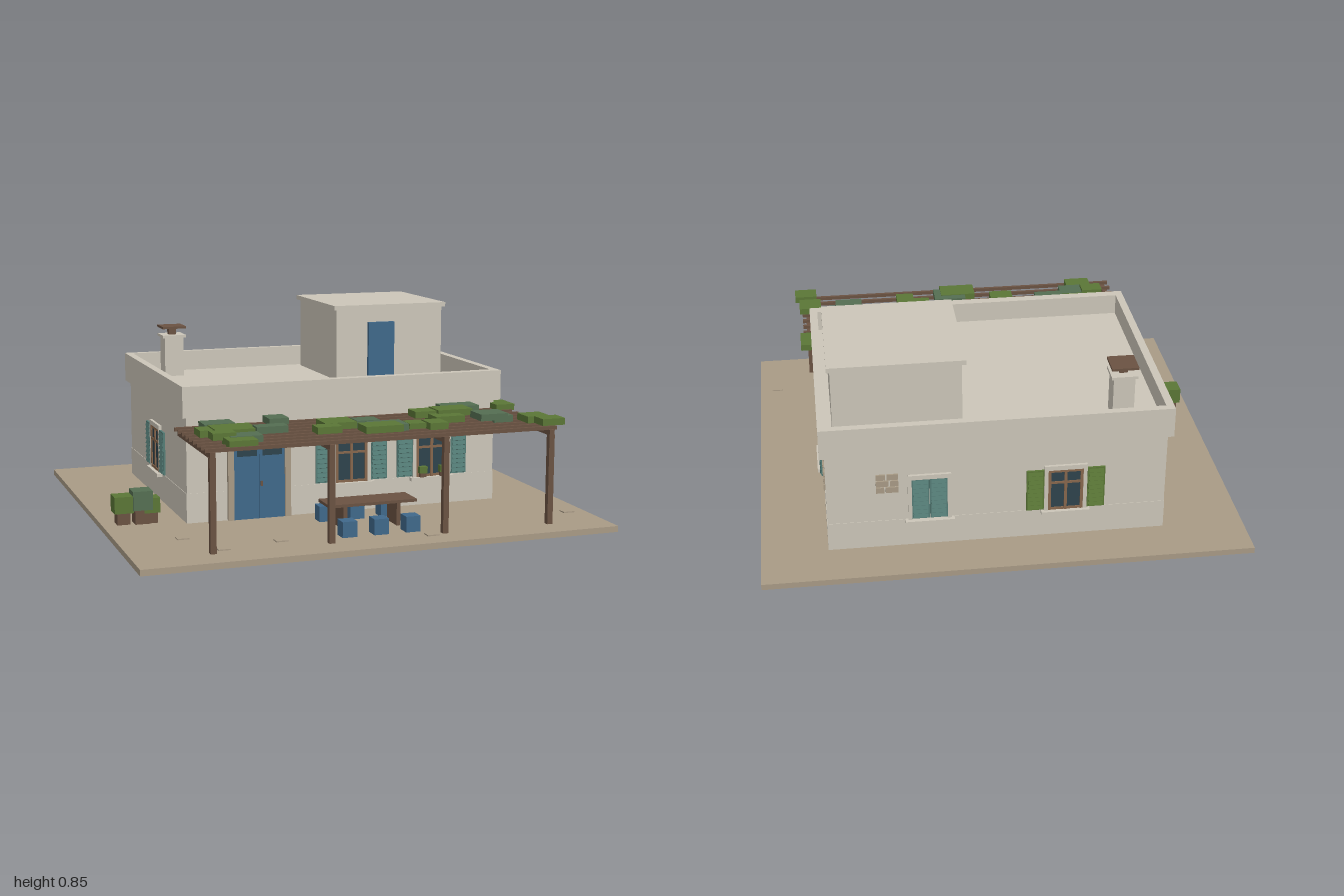
import * as THREE from 'three';

const mat = (name, hex) => {
  const m = new THREE.MeshStandardMaterial({ color: hex });
  m.name = name;
  return m;
};
const WALL = mat('limewash', 0xcbc5b8), STONE = mat('stone', 0xa89a85), BLUE = mat('bluePaint', 0x40688a),
  TEAL = mat('tealPaint', 0x547c76), WOOD = mat('darkWood', 0x6a5242), GLASS = mat('glass', 0x2e434c),
  FRAME = mat('windowWood', 0x86664c), LEAF = mat('leaf', 0x5a7636), SAGE = mat('sageLeaf', 0x546e52);

// Box given by its extents along x, y and z
function block(parent, name, m, x0, x1, y0, y1, z0, z1) {
  const mesh = new THREE.Mesh(new THREE.BoxGeometry(x1 - x0, y1 - y0, z1 - z0), m);
  mesh.position.set((x0 + x1) / 2, (y0 + y1) / 2, (z0 + z1) / 2);
  mesh.name = name;
  parent.add(mesh);
  return mesh;
}

function group(parent, name, x = 0, z = 0, turn = 0) {
  const g = new THREE.Group();
  g.name = name;
  g.position.set(x, 0, z);
  g.rotation.y = turn;
  parent.add(g);
  return g;
}

// Louvred shutter centred on x, lying on the wall plane z = 0
function shutter(parent, x, m) {
  const g = group(parent, 'shutter', x);
  block(g, 'shutterPanel', m, -0.036, 0.036, 0.155, 0.342, 0.002, 0.011);
  for (let i = 0; i < 9; i++) {
    const y = 0.168 + i * 0.02;
    block(g, 'slat', m, -0.03, 0.03, y - 0.008, y + 0.008, 0.009, 0.014).rotation.x = -0.35;
  }
}

// Window facing +z, wall plane at z = 0
function windowUnit(parent, x, z, turn, shutterMat, closed = false) {
  const g = group(parent, 'window', x, z, turn);
  block(g, 'surroundTop', WALL, -0.088, 0.088, 0.34, 0.36, 0, 0.012);
  for (const s of [-1, 1]) {
    const cx = s * 0.08;
    block(g, 'surroundSide', WALL, cx - 0.008, cx + 0.008, 0.15, 0.34, 0, 0.012);
    shutter(g, s * (closed ? 0.037 : 0.125), shutterMat);
  }
  block(g, 'sill', WALL, -0.1, 0.1, 0.135, 0.15, 0, 0.026);
  if (closed) return;
  block(g, 'pane', GLASS, -0.07, 0.07, 0.15, 0.34, 0, 0.006);
  for (const bx of [-0.066, 0, 0.066]) block(g, 'frameUpright', FRAME, bx - 0.006, bx + 0.006, 0.15, 0.34, 0, 0.011);
  for (const by of [0.156, 0.28, 0.334]) block(g, 'frameRail', FRAME, -0.072, 0.072, by - 0.005, by + 0.005, 0, 0.0105);
}

// Patch of bare masonry, wall plane at z = 0
function masonry(parent, x, z, turn, w, y0, rows) {
  const g = group(parent, 'bareStone', x, z, turn);
  rows.forEach((split, i) => {
    const y = y0 + i * 0.03, cut = -w / 2 + split * w;
    block(g, 'brick', STONE, -w / 2, cut - 0.003, y, y + 0.025, 0, 0.007);
    block(g, 'brick', STONE, cut + 0.003, w / 2, y, y + 0.025, 0, 0.007);
  });
}

function buildHouse(root) {
  const g = group(root, 'house');
  block(g, 'walls', WALL, -0.66, 0.725, 0.02, 0.51, -0.725, 0.31);
  block(g, 'plinth', WALL, -0.662, 0.727, 0.02, 0.15, -0.727, 0.312);

  // Parapet ring around the flat roof
  const ring = new THREE.Shape([[-0.68, -0.335], [0.745, -0.335], [0.745, 0.747], [-0.68, 0.747]].map(p => new THREE.Vector2(...p)));
  ring.holes.push(new THREE.Path([[-0.647, -0.293], [-0.647, 0.716], [0.711, 0.716], [0.711, -0.293]].map(p => new THREE.Vector2(...p))));
  const parapet = new THREE.Mesh(new THREE.ExtrudeGeometry(ring, { depth: 0.13, bevelEnabled: false }), WALL);
  parapet.rotation.x = -Math.PI / 2;
  parapet.position.y = 0.47;
  parapet.name = 'parapet';
  g.add(parapet);

  // Roof room
  block(g, 'roofRoom', WALL, 0.17, 0.685, 0.5, 0.832, -0.685, -0.175);
  block(g, 'roofRoomCap', WALL, 0.155, 0.698, 0.83, 0.85, -0.7, -0.16);
  block(g, 'roofDoor', BLUE, 0.32, 0.445, 0.51, 0.77, -0.176, -0.157);

  // Chimney
  block(g, 'chimney', WALL, -0.535, -0.447, 0.5, 0.69, -0.635, -0.547);
  block(g, 'chimneyRim', WALL, -0.545, -0.437, 0.688, 0.7, -0.645, -0.537);
  block(g, 'chimneyNeck', WOOD, -0.508, -0.474, 0.7, 0.732, -0.608, -0.574);
  block(g, 'chimneyCap', WOOD, -0.546, -0.436, 0.73, 0.74, -0.646, -0.536);

  // Front door
  const d = group(g, 'frontDoor', -0.35, 0.31);
  block(d, 'doorLintel', STONE, -0.137, 0.137, 0.34, 0.365, 0, 0.016);
  for (const s of [-1, 1]) {
    block(d, 'doorJamb', STONE, s * 0.124 - 0.013, s * 0.124 + 0.013, 0.025, 0.34, 0, 0.016);
    block(d, 'doorLeaf', BLUE, s * 0.0555 - 0.0545, s * 0.0555 + 0.0545, 0.025, 0.34, 0, 0.012);
    block(d, 'doorPane', GLASS, s * 0.055 - 0.043, s * 0.055 + 0.043, 0.293, 0.33, 0.01, 0.014);
  }
  block(d, 'doorHandle', WOOD, 0.004, 0.012, 0.165, 0.185, 0.012, 0.02);

  // Wall lantern
  block(g, 'lanternArm', WOOD, -0.184, -0.176, 0.365, 0.373, 0.31, 0.36);
  block(g, 'lanternCap', WOOD, -0.195, -0.165, 0.365, 0.374, 0.338, 0.37);
  block(g, 'lanternBody', WALL, -0.191, -0.169, 0.33, 0.365, 0.343, 0.366);

  windowUnit(g, 0.06, 0.31, 0, TEAL);
  windowUnit(g, 0.43, 0.31, 0, TEAL);
  windowUnit(g, 0.725, -0.208, Math.PI / 2, TEAL);
  windowUnit(g, -0.66, -0.208, -Math.PI / 2, TEAL);
  windowUnit(g, -0.245, -0.725, Math.PI, LEAF);
  windowUnit(g, 0.31, -0.725, Math.PI, TEAL, true);

  masonry(g, 0.725, -0.512, Math.PI / 2, 0.135, 0.26, [0.4, 0.6, 0.75]);
  masonry(g, 0.725, -0.635, Math.PI / 2, 0.09, 0.285, [0.5, 0.35, 0.6]);
  masonry(g, 0.48, -0.725, Math.PI, 0.09, 0.285, [0.4, 0.6, 0.45]);

  // Sill flower pots
  for (const x of [0.385, 0.48]) {
    block(g, 'sillPot', WOOD, x - 0.014, x + 0.014, 0.15, 0.172, 0.314, 0.336);
    block(g, 'sillPlant', LEAF, x - 0.018, x + 0.018, 0.168, 0.197, 0.313, 0.341);
  }
}

function buildPergola(root) {
  const g = group(root, 'pergola');
  for (const x of [-0.685, -0.203, 0.282, 0.75]) {
    block(g, 'post', WOOD, x - 0.012, x + 0.012, 0.02, 0.4, 0.785, 0.809);
    block(g, 'beam', WOOD, x - 0.011, x + 0.011, 0.397, 0.42, 0.31, 0.809);
  }
  for (let i = 0; i < 9; i++) {
    const z = 0.322 + i * 0.0583;
    block(g, 'rafter', WOOD, -0.712, 0.778, 0.418, 0.433, z - 0.007, z + 0.007);
  }
  // Vine clumps: x, z, width, depth
  const vines = [
    [LEAF, [[0.75, 0.317, 0.085, 0.12], [-0.63, 0.525, 0.08, 0.09], [-0.53, 0.547, 0.17, 0.13], [-0.605, 0.66, 0.095, 0.07],
      [-0.555, 0.738, 0.115, 0.105], [-0.083, 0.52, 0.135, 0.12], [-0.166, 0.644, 0.105, 0.07], [0.038, 0.706, 0.16, 0.1],
      [0.22, 0.632, 0.085, 0.08], [0.29, 0.668, 0.08, 0.095], [0.337, 0.438, 0.105, 0.085], [0.456, 0.45, 0.155, 0.105],
      [0.406, 0.5, 0.13, 0.13], [0.74, 0.66, 0.1, 0.1], [0.758, 0.767, 0.1, 0.08]]],
    [SAGE, [[-0.55, 0.385, 0.13, 0.095], [-0.294, 0.37, 0.085, 0.095], [0.524, 0.37, 0.16, 0.1], [-0.39, 0.6, 0.13, 0.064],
      [-0.52, 0.674, 0.13, 0.085], [0.035, 0.538, 0.1, 0.08], [0.078, 0.674, 0.145, 0.107], [0.56, 0.61, 0.122, 0.107],
      [0.615, 0.583, 0.085, 0.107]]],
  ];
  for (const [m, clumps] of vines) {
    clumps.forEach(([x, z, w, d], i) => {
      const y = 0.428 + (i * 5 % 4) * 0.005 + (m === SAGE ? 0.002 : 0);
      block(g, 'vineClump', m, x - w / 2, x + w / 2, y, y + 0.028, z - d / 2, z + d / 2);
    });
  }
}

function buildYard(root) {
  const g = group(root, 'yard');
  block(g, 'ground', STONE, -1, 1, 0, 0.025, -0.93, 0.93);
  for (const [x, z] of [[0.92, 0.64], [-0.38, 0.7], [-0.74, 0.54], [0.22, 0.81], [-0.63, 0.75]])
    block(g, 'pavingStone', STONE, x - 0.025, x + 0.025, 0.02, 0.03, z - 0.02, z + 0.02);

  // Table and stools
  block(g, 'tableTop', WOOD, -0.155, 0.228, 0.122, 0.134, 0.505, 0.635);
  for (const x of [-0.08, 0.152]) block(g, 'tableLeg', WOOD, x - 0.008, x + 0.008, 0.025, 0.122, 0.518, 0.624);
  for (const x of [-0.105, 0.031, 0.168])
    for (const z of [0.437, 0.713]) block(g, 'stool', BLUE, x - 0.031, x + 0.031, 0.025, 0.09, z - 0.031, z + 0.031);

  // Potted plants: x, z, pot width, foliage width, foliage bottom and top
  const pots = [[-0.912, 0.222, 0.055, 0.08, 0.075, 0.145, LEAF], [-0.835, 0.23, 0.064, 0.082, 0.085, 0.165, SAGE],
    [-0.795, 0.232, 0.05, 0.066, 0.07, 0.133, LEAF]];
  for (const [x, z, p, f, y0, y1, m] of pots) {
    block(g, 'pot', WOOD, x - p / 2, x + p / 2, 0.025, y0 + 0.005, z - p / 2, z + p / 2);
    block(g, 'potPlant', m, x - f / 2, x + f / 2, y0, y1, z - f / 2, z + f / 2);
  }
}

export function createModel() {
  const root = new THREE.Group();
  root.name = 'farmhouse';
  buildYard(root);
  buildHouse(root);
  buildPergola(root);
  return root;
}
